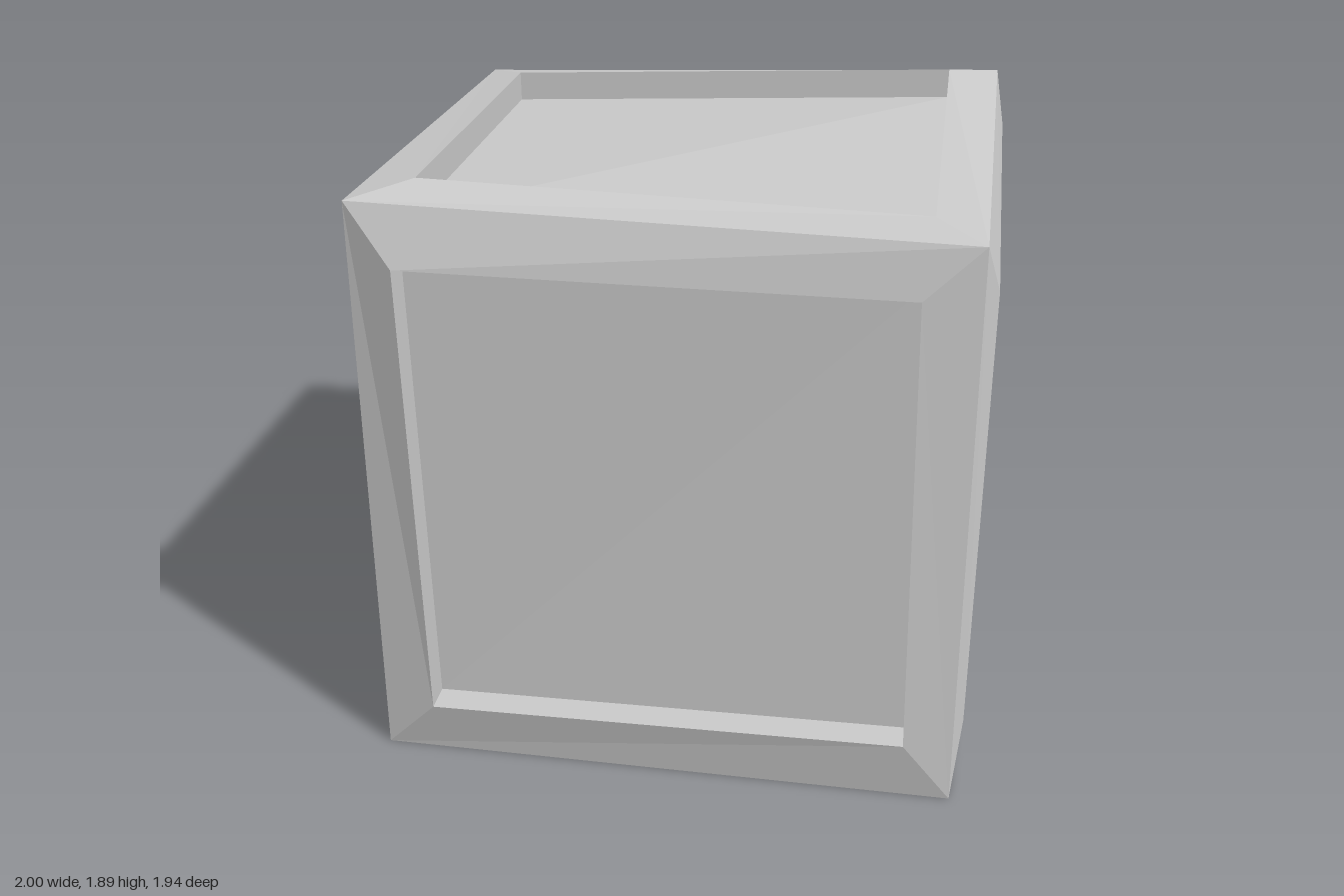
import * as THREE from 'three';

const DEPTH = 0.1;

// Eight slightly uneven outer corners: front ring, then back ring
const corners = [
  [-0.88, 0, 0.91], [0.94, 0, 0.91], [0.94, 1.83, 0.91], [-0.88, 1.86, 0.91],
  [-0.88, 0, -0.91], [0.94, 0, -0.91], [0.94, 1.86, -0.91], [-0.94, 1.79, -0.88],
];

// Each side: its corners counter-clockwise from outside, and the matching opening corners
const sides = {
  front: { ring: [0, 1, 2, 3], rim: [[-0.71, 0.18, 0.95], [0.79, 0.2, 0.94], [0.77, 1.67, 0.94], [-0.73, 1.68, 0.97]] },
  right: { ring: [1, 5, 6, 2], rim: [[0.97, 0.18, 0.74], [1, 0.21, -0.77], [0.97, 1.71, -0.74], [0.98, 1.65, 0.77]] },
  back: { ring: [5, 4, 7, 6], rim: [[0.77, 0.2, -0.95], [-0.73, 0.2, -0.97], [-0.78, 1.61, -0.95], [0.77, 1.69, -0.93]] },
  left: { ring: [4, 0, 3, 7], rim: [[-0.92, 0.18, -0.76], [-0.91, 0.18, 0.73], [-0.91, 1.67, 0.73], [-1, 1.6, -0.75]] },
  top: { ring: [3, 2, 6, 7], rim: [[-0.71, 1.89, 0.76], [0.79, 1.85, 0.74], [0.77, 1.89, -0.77], [-0.79, 1.83, -0.7]] },
  bottom: { ring: [4, 5, 1, 0], rim: [[-0.73, 0, -0.76], [0.78, 0, -0.76], [0.78, 0, 0.75], [-0.73, 0, 0.75]] },
};

const material = new THREE.MeshStandardMaterial({ color: 0xcccccc, flatShading: true });

// Mesh from a list of four-cornered faces
function quadMesh(name, quads) {
  const points = quads.flatMap(([a, b, c, d]) => [a, b, c, a, c, d]);
  const geometry = new THREE.BufferGeometry().setFromPoints(points);
  geometry.computeVertexNormals();
  const mesh = new THREE.Mesh(geometry, material);
  mesh.name = name;
  return mesh;
}

// Band of four quads joining an outer loop to an inner loop
function band(outer, inner) {
  return outer.map((p, i) => {
    const j = (i + 1) % 4;
    return [p, outer[j], inner[j], inner[i]];
  });
}

export function createModel() {
  const crate = new THREE.Group();
  crate.name = 'crate';
  for (const [name, { ring, rim }] of Object.entries(sides)) {
    const outer = ring.map((i) => new THREE.Vector3(...corners[i]));
    const opening = rim.map((p) => new THREE.Vector3(...p));

    // Sink the panel along the opening's average normal
    const diagonalA = opening[2].clone().sub(opening[0]);
    const diagonalB = opening[3].clone().sub(opening[1]);
    const inward = diagonalA.cross(diagonalB).normalize().multiplyScalar(-DEPTH);
    const floor = opening.map((p) => p.clone().add(inward));

    const side = new THREE.Group();
    side.name = `${name}Side`;
    side.add(
      quadMesh(`${name}Frame`, band(outer, opening)),
      quadMesh(`${name}RecessWalls`, band(opening, floor)),
      quadMesh(`${name}Panel`, [floor]),
    );
    crate.add(side);
  }
  return crate;
}
